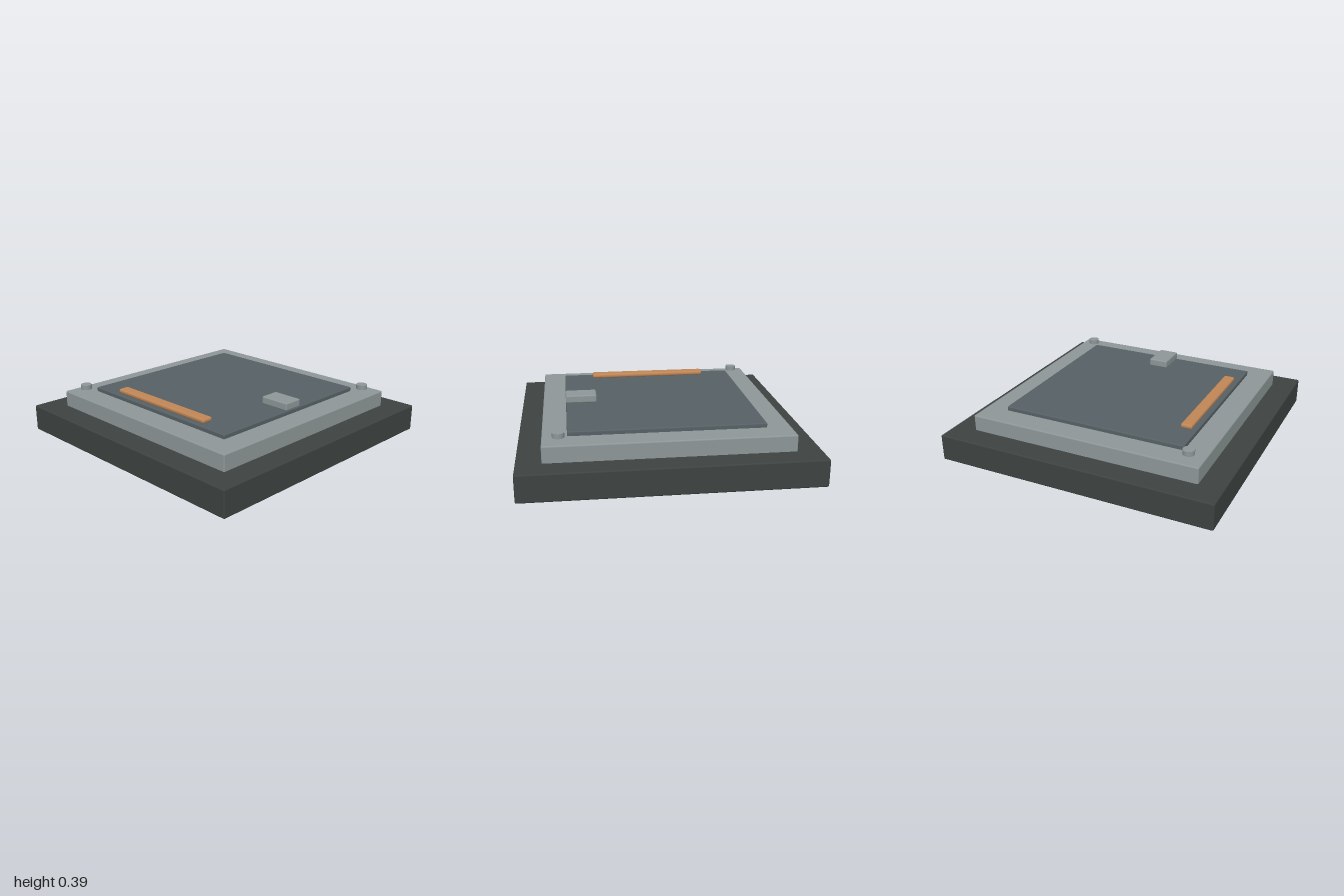
import * as THREE from 'three';
import { RoundedBoxGeometry } from 'three/addons/geometries/RoundedBoxGeometry.js';

const material = (name, color) => {
  const m = new THREE.MeshStandardMaterial({ color });
  m.name = name;
  return m;
};

export function createModel() {
  const model = new THREE.Group();
  model.name = 'floorHatch';
  const darkStone = material('darkStone', 0x3d4341);
  const steel = material('steel', 0x8d9697);
  const slate = material('slate', 0x566165);
  const copper = material('copper', 0xbf8656);

  // Softly bevelled box from its size, bottom height and centre
  function slab(name, mat, [w, h, d], bottom, bevel, x = 0, z = 0) {
    const mesh = new THREE.Mesh(new RoundedBoxGeometry(w, h, d, 2, bevel), mat);
    mesh.name = name;
    mesh.position.set(x, bottom + h / 2, z);
    model.add(mesh);
  }

  // Stacked plinth, frame and door panel
  slab('base', darkStone, [2, 0.19, 2], 0, 0.01);
  slab('frame', steel, [1.664, 0.134, 1.664], 0.17, 0.01);
  slab('panel', slate, [1.332, 0.05, 1.332], 0.284, 0.008);

  // Copper handle bar along the front and latch on the left edge
  slab('handleBar', copper, [0.888, 0.033, 0.082], 0.333, 0.014, 0, 0.592);
  slab('latch', steel, [0.222, 0.056, 0.144], 0.333, 0.01, 0.555, 0);

  // Bolts hovering just above two opposite frame corners
  const boltGeometry = new THREE.CylinderGeometry(0.04, 0.04, 0.034, 20);
  for (const side of [-1, 1]) {
    const bolt = new THREE.Mesh(boltGeometry, steel);
    bolt.name = side < 0 ? 'frontBolt' : 'backBolt';
    bolt.position.set(side * 0.722, 0.339, -side * 0.722);
    model.add(bolt);
  }
  return model;
}
